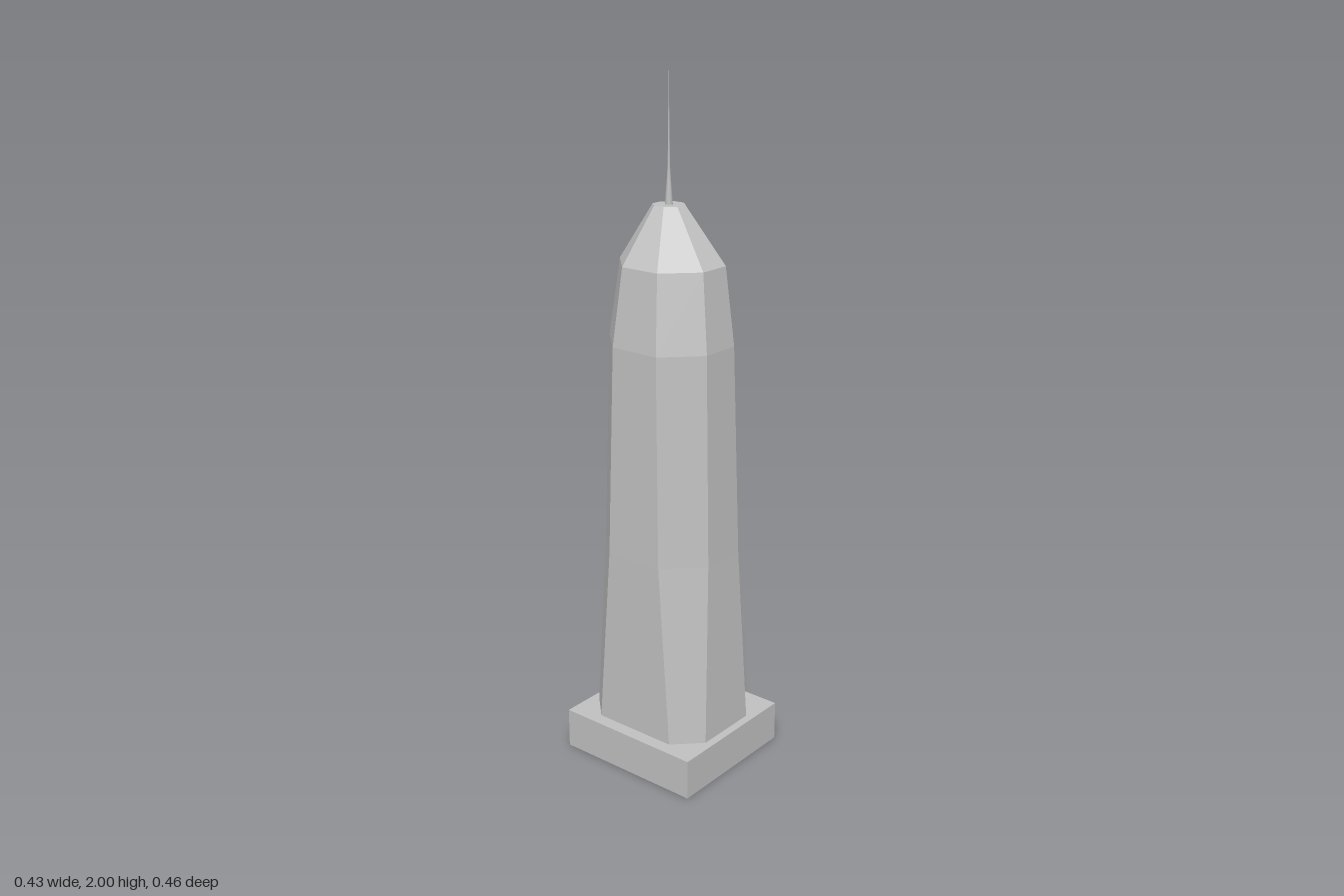
import * as THREE from 'three';

// Eight corners of a chamfered rectangle: outer limits, then the extents of the straight sides
function ring({ y, x, z, fx, sz }) {
  return [
    [fx[0], y, z[1]], [fx[1], y, z[1]], [x[1], y, sz[1]], [x[1], y, sz[0]],
    [fx[1], y, z[0]], [fx[0], y, z[0]], [x[0], y, sz[0]], [x[0], y, sz[1]],
  ];
}

// Faceted skin between successive rings, closed at the top
function loft(rings) {
  const pos = [];
  const tri = (...pts) => pts.forEach((p) => pos.push(...p));
  for (let k = 0; k < rings.length - 1; k++) {
    const lo = rings[k], hi = rings[k + 1], n = lo.length;
    for (let i = 0; i < n; i++) {
      const j = (i + 1) % n;
      tri(lo[i], lo[j], hi[j]);
      tri(lo[i], hi[j], hi[i]);
    }
  }
  const cap = rings[rings.length - 1];
  for (let i = 1; i < cap.length - 1; i++) tri(cap[0], cap[i], cap[i + 1]);
  const geo = new THREE.BufferGeometry();
  geo.setAttribute('position', new THREE.Float32BufferAttribute(pos, 3));
  geo.computeVertexNormals();
  return geo;
}

export function createModel() {
  const group = new THREE.Group();
  const concrete = new THREE.MeshStandardMaterial({ color: 0xc0c0c0, side: THREE.DoubleSide });
  concrete.name = 'pale grey concrete';
  const add = (name, geo) => {
    const mesh = new THREE.Mesh(geo, concrete);
    mesh.name = name;
    group.add(mesh);
    return mesh;
  };

  // Hollow podium, open underneath
  const w = 0.214, d = 0.23, h = 0.12;
  const rect = (y) => [[-w, y, d], [w, y, d], [w, y, -d], [-w, y, -d]];
  add('podium', loft([rect(0), rect(h)]));

  // Tapering shaft that leans towards its back left corner
  const levels = [
    { y: h, x: [-0.175, 0.173], z: [-0.209, 0.206], fx: [-0.1, 0.098], sz: [-0.133, 0.13] },
    { y: 0.66, x: [-0.165, 0.173], z: [-0.2, 0.184], fx: [-0.066, 0.074], sz: [-0.099, 0.083] },
    { y: 1.27, x: [-0.149, 0.167], z: [-0.188, 0.161], fx: [-0.051, 0.071], sz: [-0.09, 0.064] },
    { y: 1.49, x: [-0.116, 0.156], z: [-0.166, 0.129], fx: [-0.028, 0.071], sz: [-0.081, 0.042] },
  ];
  add('shaft', loft(levels.map(ring)));

  // Sloping roof rising to a small flat octagon
  const crown = { y: 1.64, x: [0.01, 0.098], z: [-0.1, -0.012], fx: [0.036, 0.071], sz: [-0.073, -0.039] };
  add('roof', loft([levels[3], crown].map(ring)));

  // Needle spire
  const profile = [[0.011, 1.64], [0.01, 1.66], [0.006, 1.71], [0.0035, 1.75], [0.002, 1.86], [0, 2]]
    .map(([r, y]) => new THREE.Vector2(r, y));
  add('spire', new THREE.LatheGeometry(profile, 12)).position.set(0.053, 0, -0.056);

  return group;
}
